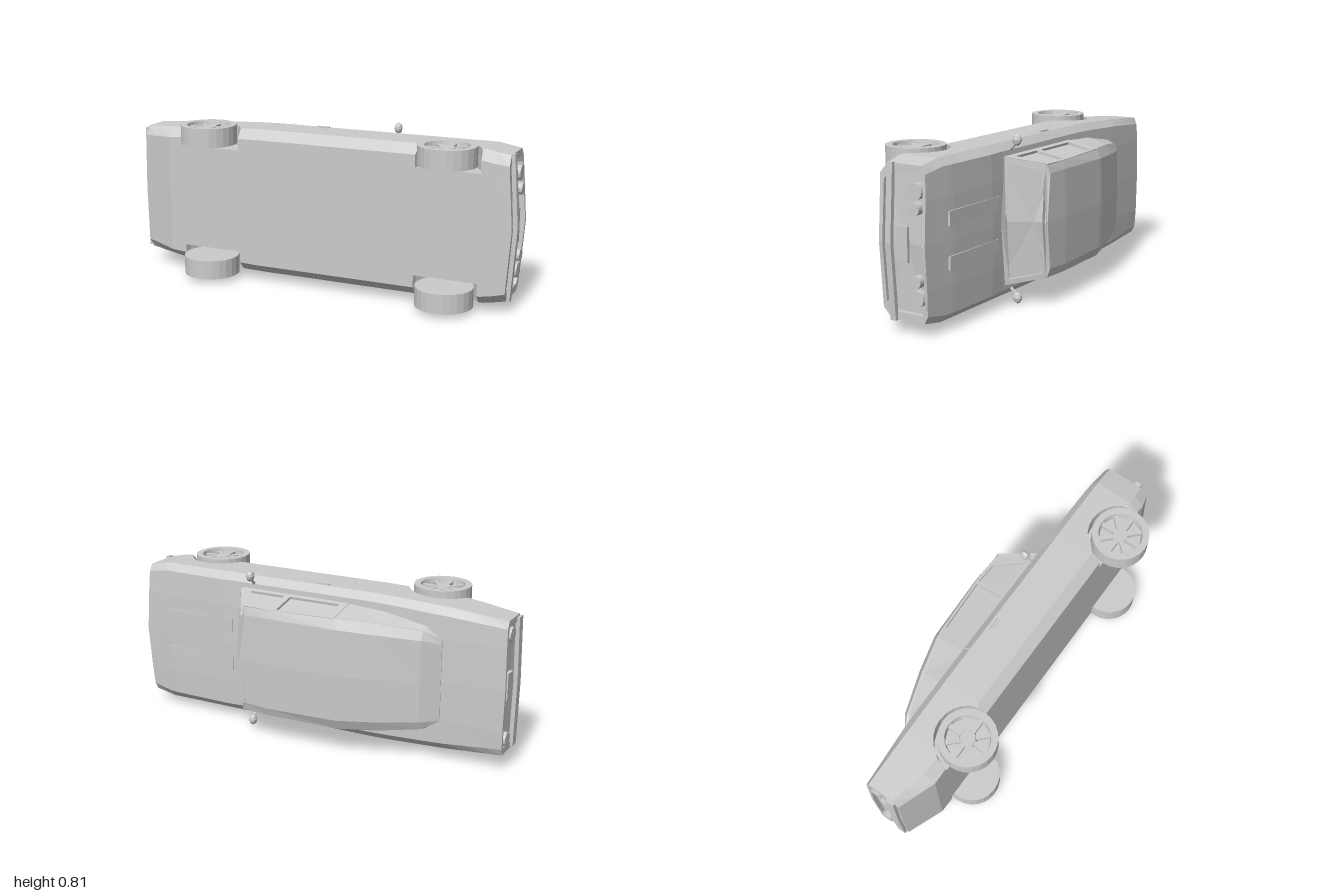
import * as THREE from 'three';

const grey = new THREE.MeshStandardMaterial({ color: 0xcccccc, flatShading: true });

// Piecewise-linear lookup: table of [x, value]
function lerpTable(t, x) {
  if (x <= t[0][0]) return t[0][1];
  for (let i = 1; i < t.length; i++) {
    if (x <= t[i][0]) {
      const k = (x - t[i - 1][0]) / (t[i][0] - t[i - 1][0]);
      return t[i - 1][1] + k * (t[i][1] - t[i - 1][1]);
    }
  }
  return t[t.length - 1][1];
}

// Skin closed rings of [x, y, z] ordered along x, with both ends capped
function loft(rings) {
  const pos = [], n = rings[0].length;
  const tri = (a, b, c) => pos.push(...a, ...b, ...c);
  for (let i = 0; i + 1 < rings.length; i++) {
    for (let j = 0; j < n; j++) {
      const k = (j + 1) % n, r = rings[i], s = rings[i + 1];
      tri(r[j], s[j], r[k]);
      tri(s[j], s[k], r[k]);
    }
  }
  const cap = (r, flip) => {
    const c = [0, 1, 2].map(a => r.reduce((sum, p) => sum + p[a], 0) / n);
    for (let j = 0; j < n; j++) {
      const k = (j + 1) % n;
      flip ? tri(c, r[k], r[j]) : tri(c, r[j], r[k]);
    }
  };
  cap(rings[0], false);
  cap(rings[rings.length - 1], true);
  const g = new THREE.BufferGeometry();
  g.setAttribute('position', new THREE.Float32BufferAttribute(pos, 3));
  g.computeVertexNormals();
  return g;
}

// Half ring from bottom centre to top centre, completed by mirroring in z
const mirrorRing = half => [...half, ...half.slice(1, -1).reverse().map(([x, y, z]) => [x, y, -z])];

const REAR = -0.56, FRONT = 0.68, AXLE = -0.165, ARCH = 0.157;
const WIDTH = [[-0.98, 0.325], [-0.7, 0.348], [-0.35, 0.365], [0.85, 0.365], [0.96, 0.345]];
const TOP = [[-0.98, 0.1], [-0.65, 0.117], [0.4, 0.117], [0.5, 0.123], [0.8, 0.118], [0.96, 0.105]];
const BOTTOM = [[-0.98, -0.085], [-0.8, -0.155], [0.9, -0.158], [0.96, -0.14]];
const SILL = [[-0.98, -0.055], [-0.75, -0.105], [0.9, -0.108], [0.96, -0.1]];

function bodyRing(x) {
  const w = lerpTable(WIDTH, x), top = lerpTable(TOP, x), bot = lerpTable(BOTTOM, x), sill = lerpTable(SILL, x);
  let low = bot;
  for (const cx of [REAR, FRONT]) {
    const d = ARCH ** 2 - (x - cx) ** 2;
    if (d > 0) low = Math.max(low, AXLE + Math.sqrt(d));
  }
  const k = Math.min(1, (low - bot) / (sill - bot));
  const inner = Math.min(0.26, w - 0.06);
  return mirrorRing([
    [x, bot, 0], [x, bot, inner], [x, low, inner], [x, low, w - 0.045 * (1 - k)],
    [x, Math.max(sill, low), w], [x, 0.08, w], [x, top - 0.005, w - 0.035], [x, top, 0.2], [x, top + 0.002, 0],
  ]);
}

function bodyGeometry() {
  const xs = [-0.98, -0.9, -0.8, -0.3, -0.05, 0.2, 0.4, 0.5, 0.85, 0.9, 0.96];
  for (const cx of [REAR, FRONT]) for (let i = 0; i <= 12; i++) xs.push(cx - ARCH * Math.cos(i * Math.PI / 12));
  xs.sort((a, b) => a - b);
  const rings = xs.map(bodyRing);
  // Bowed nose and recessed end panels
  const bow = (ring, amount) => ring.map(([x, y, z]) => [x + amount * (1 - Math.abs(z) / 0.35), y, z]);
  const inset = (ring, dx) => ring.map(([x, y, z]) => [x + dx, -0.005 + (y + 0.005) * 0.86, z * 0.9]);
  const nose = bow(rings.pop(), 0.025), tail = bow(rings.shift(), -0.006);
  return loft([inset(tail, 0.02), inset(tail, 0), tail, ...rings, nose, inset(nose, 0), inset(nose, -0.025)]);
}

// Cabin rows: x of base, shoulder, roof edge, roof centre; then heights and half widths
function cabinGeometry() {
  const row = (xs, base, sh, roof, topH, cut, bow = 0) => mirrorRing([
    [xs[0] + bow, 0.1, 0], [xs[0], 0.1, base - cut], [xs[1], sh[0] - 0.012, sh[1] - cut], [xs[1], sh[0], sh[1]],
    [xs[2], roof[0], roof[1]], [xs[2] + bow, topH, 0],
  ]);
  const same = x => [x, x, x];
  return loft([
    row(same(-0.68), 0.2, [0.118, 0.2], [0.12, 0.18], 0.12, 0),
    row(same(-0.6), 0.26, [0.16, 0.24], [0.177, 0.2], 0.18, 0),
    row(same(-0.4), 0.295, [0.22, 0.265], [0.243, 0.215], 0.25, 0),
    row(same(-0.22), 0.305, [0.265, 0.274], [0.288, 0.225], 0.294, 0),
    row(same(-0.195), 0.305, [0.268, 0.273], [0.29, 0.225], 0.296, 0),
    row(same(-0.19), 0.305, [0.268, 0.273], [0.29, 0.225], 0.296, 0.012),
    row(same(0.15), 0.305, [0.286, 0.27], [0.3, 0.23], 0.305, 0.012),
    row([0.385, 0.28, 0.272], 0.3, [0.28, 0.268], [0.292, 0.226], 0.296, 0.012, 0.03),
  ]);
}

const v2 = pts => pts.map(([x, y]) => new THREE.Vector2(x, y));
function frame(outline, holes, depth) {
  const s = new THREE.Shape(v2(outline));
  for (const h of holes) s.holes.push(new THREE.Path(v2(h)));
  return new THREE.ExtrudeGeometry(s, { depth, bevelEnabled: false });
}

// Tilted frame round the windscreen, bowed forward at its middle
function windscreenGeometry() {
  const both = half => [...half, ...half.slice(1, -1).reverse().map(([x, y]) => [-x, y])];
  const g = frame(both([[0, 0], [0.3, 0], [0.268, 0.192], [0.226, 0.207], [0, 0.21]]),
    [both([[0, 0.022], [0.274, 0.022], [0.244, 0.178], [0.216, 0.187], [0, 0.189]])], 0.014);
  g.applyMatrix4(new THREE.Matrix4().makeBasis(
    new THREE.Vector3(0, 0, -1), new THREE.Vector3(-0.53, 0.848, 0), new THREE.Vector3(0.848, 0.53, 0)));
  const p = g.attributes.position;
  for (let i = 0; i < p.count; i++) p.setX(i, p.getX(i) + 0.03 * (1 - Math.abs(p.getZ(i)) / 0.3));
  g.computeVertexNormals();
  return g.translate(0.383, 0.113, 0);
}

function bumperGeometry(height, length, bow) {
  const g = new THREE.BoxGeometry(0.02, height, length, 1, 1, 4);
  const p = g.attributes.position;
  for (let i = 0; i < p.count; i++) p.setX(i, p.getX(i) + bow * (1 - Math.abs(p.getZ(i)) / (length / 2)));
  g.computeVertexNormals();
  return g;
}

export function createModel() {
  const model = new THREE.Group();
  const car = new THREE.Group();
  car.name = 'car';
  model.add(car);

  const add = (name, geo, x = 0, y = 0, z = 0, parent = car) => {
    const m = new THREE.Mesh(geo, grey);
    m.name = name;
    m.position.set(x, y, z);
    parent.add(m);
    return m;
  };
  const box = (name, w, h, d, x, y, z, parent) => add(name, new THREE.BoxGeometry(w, h, d), x, y, z, parent);

  add('body', bodyGeometry());
  add('cabin', cabinGeometry());
  add('windscreenFrame', windscreenGeometry());

  // Bumpers and plates
  add('frontBumper', bumperGeometry(0.03, 0.7, 0.025), 0.965, -0.08, 0);
  add('rearBumper', bumperGeometry(0.045, 0.63, -0.006), -0.984, -0.045, 0);
  box('frontPlate', 0.015, 0.065, 0.16, 0.973, -0.022, 0);
  box('rearPlate', 0.015, 0.06, 0.13, -0.972, 0.02, 0);

  for (const s of [1, -1]) {
    // Side window frames
    const side = add('sideWindowFrame', frame(
      [[-0.2, -0.005], [0.388, -0.005], [0.28, 0.168], [0.15, 0.173], [-0.2, 0.155]],
      [[[-0.16, 0.02], [0.105, 0.02], [0.105, 0.158], [-0.16, 0.145]],
        [[0.14, 0.02], [0.325, 0.02], [0.225, 0.152], [0.123, 0.158]]], 0.012),
    0, 0.115, s > 0 ? 0.293 : -0.305);
    side.rotation.x = -s * 0.203;

    // Hood ridges
    box('hoodRidge', 0.38, 0.02, 0.065, 0.64, 0.116, s * 0.1);

    // Lamps
    for (const [name, r, x, y, z] of [['outerHeadlight', 0.036, 0.953, 0.05, 0.235],
      ['innerHeadlight', 0.028, 0.962, 0.05, 0.16], ['tailLight', 0.034, -0.97, 0.045, 0.255]]) {
      add(name, new THREE.CylinderGeometry(r, r, 0.04, 16), x, y, s * z).rotation.z = Math.PI / 2;
    }

    // Door seam and handle
    box('doorSeam', 0.004, 0.22, 0.002, -0.175, 0, s * 0.365).rotation.z = 0.41;
    box('doorHandle', 0.065, 0.008, 0.01, -0.042, 0.067, s * 0.366);
    box('handleCatch', 0.045, 0.006, 0.008, -0.037, 0.055, s * 0.366);

    // Door mirror on its stalk
    const shell = add('mirrorShell', new THREE.SphereGeometry(0.027, 8, 6), 0.325, 0.144, s * 0.377);
    shell.scale.set(0.75, 0.85, 1.05);
    const stalk = add('mirrorStalk', new THREE.CylinderGeometry(0.006, 0.008, 0.05, 6), 0.325, 0.125, s * 0.348);
    stalk.rotation.x = s * 0.75;

    // Wheels: tyre with a dished outer face, hub and spokes
    for (const cx of [REAR, FRONT]) {
      const wheel = new THREE.Group();
      wheel.name = 'wheel';
      wheel.position.set(cx, AXLE, s * 0.334);
      wheel.rotation.x = s * Math.PI / 2;
      car.add(wheel);
      const profile = v2([[0, -0.047], [0.138, -0.047], [0.138, 0.047], [0.106, 0.047], [0.1, 0.012], [0, 0.012]]);
      add('tyre', new THREE.LatheGeometry(profile, 24), 0, 0, 0, wheel);
      add('hub', new THREE.CylinderGeometry(0.036, 0.044, 0.026, 16), 0, 0.024, 0, wheel);
      for (let i = 0; i < 8; i++) {
        const spoke = new THREE.Group();
        spoke.rotation.y = i * Math.PI / 4;
        wheel.add(spoke);
        box('spoke', 0.068, 0.022, 0.022, 0.07, 0.022, 0, spoke);
      }
    }
  }

  // The car lies on its side: roof towards -z, nose towards +x
  car.rotation.x = -Math.PI / 2;
  car.position.y = 0.405;
  return model;
}
